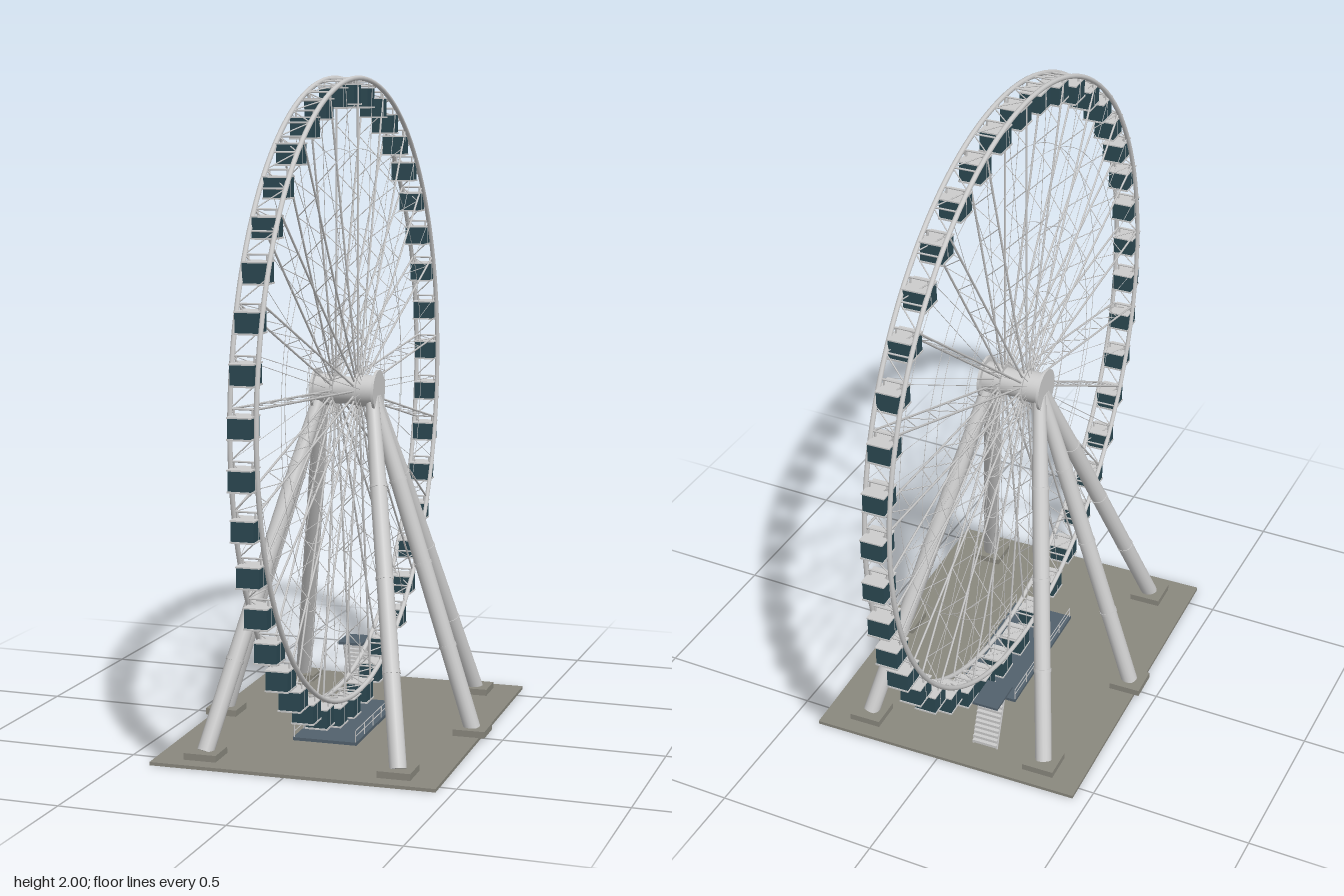
import * as THREE from 'three';
import { mergeGeometries } from 'three/addons/utils/BufferGeometryUtils.js';

const HUB_Y = 1.052, RIM_R = 0.94, RIM_X = 0.037, CABINS = 42;
const STEP = (Math.PI * 2) / CABINS;
const grey = new THREE.MeshStandardMaterial({ color: 0xcccccc });
const teal = new THREE.MeshStandardMaterial({ color: 0x2b4852 });
const stone = new THREE.MeshStandardMaterial({ color: 0x8a887e });
const slate = new THREE.MeshStandardMaterial({ color: 0x52616d });
const V = (x, y, z) => new THREE.Vector3(x, y, z);

// Round bar between two points
function rod(a, b, r, sides = 5, r2 = r) {
  const d = b.clone().sub(a);
  const g = new THREE.CylinderGeometry(r2, r, d.length(), sides, 1, sides < 8);
  g.applyQuaternion(new THREE.Quaternion().setFromUnitVectors(V(0, 1, 0), d.normalize()));
  return g.translate((a.x + b.x) / 2, (a.y + b.y) / 2, (a.z + b.z) / 2);
}
const box = (w, h, d, x, y, z) => new THREE.BoxGeometry(w, h, d).translate(x, y, z);
const disc = (r, w, x) => new THREE.CylinderGeometry(r, r, w, 32).rotateZ(Math.PI / 2).translate(x, 0, 0);
const ring = (R, r, x, sides) => new THREE.TorusGeometry(R, r, sides, 126).rotateY(Math.PI / 2).translate(x, 0, 0);
// Point on the wheel, angle measured from the top
const polar = (x, R, a) => V(x, R * Math.cos(a), R * Math.sin(a));

function add(parent, name, geos, material) {
  const mesh = new THREE.Mesh(mergeGeometries(geos), material);
  mesh.name = name;
  parent.add(mesh);
}

function buildWheel() {
  const wheel = new THREE.Group();
  wheel.name = 'wheel';
  wheel.position.y = HUB_Y;

  // Twin rims with cross bars and diagonal bracing
  const rims = [ring(RIM_R, 0.0075, RIM_X, 8), ring(RIM_R, 0.0075, -RIM_X, 8)];
  const lattice = [];
  for (let i = 0; i < CABINS * 2; i++) {
    const a = i * STEP / 2, s = i % 2 ? 1 : -1;
    lattice.push(rod(polar(-RIM_X, RIM_R, a), polar(RIM_X, RIM_R, a), 0.003));
    lattice.push(rod(polar(s * RIM_X, RIM_R, a), polar(-s * RIM_X, RIM_R, a + STEP / 2), 0.002));
  }
  add(wheel, 'rims', rims, grey);
  add(wheel, 'rimLattice', lattice, grey);

  // Alternating truss spokes and thin cables
  const trusses = [], cables = [];
  for (let i = 0; i < CABINS; i++) {
    const a = i * STEP;
    for (const s of [-1, 1]) {
      if (i % 2) cables.push(rod(polar(s * 0.055, 0.05, a), polar(s * RIM_X, RIM_R, a), 0.001, 4));
      else trusses.push(rod(polar(s * 0.035, 0.05, a), polar(s * 0.033, RIM_R, a), 0.0034));
    }
    if (i % 2 === 0) {
      const n = 12, dr = (RIM_R - 0.1) / n;
      for (let k = 0; k < n; k++) {
        const s = k % 2 ? 0.034 : -0.034;
        trusses.push(rod(polar(s, 0.1 + k * dr, a), polar(-s, 0.1 + (k + 1) * dr, a), 0.0014, 4));
      }
    }
  }
  // Concentric tie rings
  for (const R of [0.29, 0.49, 0.73])
    for (const s of [-1, 1]) cables.push(ring(R, 0.0009, s * 0.035, 4));
  add(wheel, 'trussSpokes', trusses, grey);
  add(wheel, 'cables', cables, grey);

  // Axle drum and flanges
  add(wheel, 'hub', [disc(0.042, 0.19, 0), ...[-1, 1].flatMap(s => [
    disc(0.065, 0.008, s * 0.097), disc(0.048, 0.056, s * 0.066), disc(0.056, 0.008, s * 0.037)])], grey);

  // Cabins hang upright below the rim
  const bodies = [], frames = [];
  for (let i = 0; i < CABINS; i++) {
    const p = polar(0, RIM_R, i * STEP), y = p.y - 0.048;
    bodies.push(box(0.065, 0.054, 0.073, 0, y, p.z));
    frames.push(box(0.069, 0.004, 0.078, 0, y + 0.029, p.z));
    frames.push(box(0.069, 0.005, 0.078, 0, y - 0.0295, p.z));
    frames.push(box(0.0665, 0.054, 0.002, 0, y, p.z));
    for (const s of [-1, 1])
      frames.push(rod(V(s * 0.026, y + 0.028, p.z), V(s * 0.026, p.y, p.z), 0.003));
  }
  add(wheel, 'cabinBodies', bodies, teal);
  add(wheel, 'cabinFrames', frames, grey);
  return wheel;
}

function buildSupports(root) {
  const legs = [], pads = [];
  for (const s of [-1, 1]) {
    for (const [x, z] of [[0.295, -0.465], [0.4, 0], [0.295, 0.465]]) {
      const foot = V(s * x, 0.025, z), top = V(s * 0.083, 1.035, z * 0.025);
      const at = t => foot.clone().lerp(top, t);
      // Tube tapering slightly to the hub, with low collars at the joints
      legs.push(rod(at(0), at(0.75), 0.0255, 16), rod(at(0.75), at(1), 0.0255, 16, 0.02));
      for (const t of [0.25, 0.5, 0.75]) legs.push(rod(at(t - 0.004), at(t + 0.004), 0.0275, 16));
      pads.push(box(0.1, 0.02, 0.1, s * x, 0.02, z));
    }
  }
  add(root, 'supportLegs', legs, grey);
  add(root, 'footPads', pads, stone);
}

function buildGround(root) {
  add(root, 'basePlate', [box(0.865, 0.01, 1.13, 0, 0.005, 0)], stone);

  // Boarding deck with side railings
  add(root, 'boardingDeck', [box(0.2, 0.01, 0.47, 0, 0.0145, 0)], slate);
  const rails = [];
  for (const s of [-1, 1]) {
    for (let k = 0; k < 6; k++)
      rails.push(rod(V(s * 0.097, 0.015, -0.23 + k * 0.092), V(s * 0.097, 0.055, -0.23 + k * 0.092), 0.0018));
    for (const y of [0.037, 0.055]) rails.push(rod(V(s * 0.097, y, -0.23), V(s * 0.097, y, 0.23), 0.0014));
  }
  add(root, 'deckRailings', rails, grey);

  // Raised landing reached by a steep stair from the back
  const x = -0.097, low = -0.462, high = -0.405, steps = 10;
  add(root, 'landing', [box(0.083, 0.008, 0.115, x, 0.167, -0.403)], slate);
  const stair = [-1, 1].map(s => rod(V(x + s * 0.04, 0.01, low), V(x + s * 0.04, 0.165, high), 0.003));
  for (let k = 0; k < steps; k++) {
    const t = k / steps;
    stair.push(box(0.08, 0.009, 0.014, x, 0.022 + t * 0.15, low + t * (high - low)));
  }
  add(root, 'landingStair', stair, grey);
}

export function createModel() {
  const model = new THREE.Group();
  model.name = 'observationWheel';
  const turned = new THREE.Group();
  turned.name = 'wheelAssembly';
  turned.rotation.y = 0.035;
  turned.add(buildWheel());
  buildSupports(turned);
  buildGround(turned);
  model.add(turned);
  return model;
}
